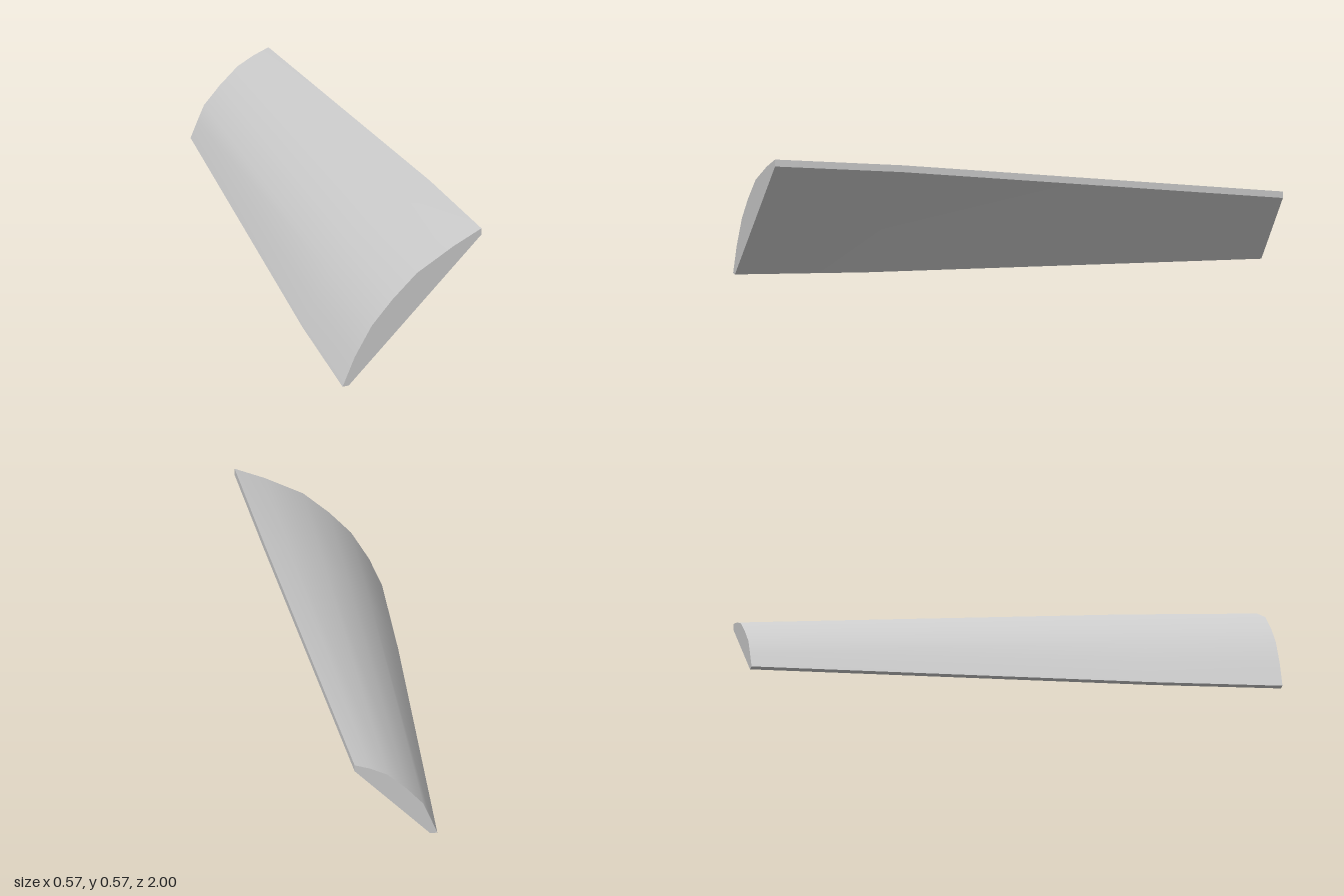
import * as THREE from 'three';
import { toCreasedNormals } from 'three/addons/utils/BufferGeometryUtils.js';

// Cross-sections run counter-clockwise as seen from the front:
// inner flat edge first, then the bowed outer edge from top to bottom.
const FRONT = [[-0.26, 0.012], [0.285, 0.545], [0.285, 0.572], [0.17, 0.52], [0.02, 0.437],
  [-0.08, 0.345], [-0.165, 0.25], [-0.235, 0.13], [-0.285, 0.012]];
const BACK = [[-0.025, 0], [0.268, 0.297], [0.268, 0.322], [0.21, 0.302], [0.142, 0.269],
  [0.068, 0.202], [0.003, 0.13], [-0.025, 0.066], [-0.052, 0]];

// Section a quarter of the way back, with its two ends nudged outwards
function middleSection() {
  return FRONT.map(([x, y], i) => {
    const k = i < 2 ? i : 1 - (i - 2) / 6; // 0 at the low end, 1 at the high end
    return [
      THREE.MathUtils.lerp(x, BACK[i][0], 0.25) + THREE.MathUtils.lerp(-0.009, 0.006, k),
      THREE.MathUtils.lerp(y, BACK[i][1], 0.25) + THREE.MathUtils.lerp(-0.009, 0.01, k),
    ];
  });
}

// Skin a list of { z, points } sections and close both ends
function loft(sections) {
  const n = sections[0].points.length;
  const last = (sections.length - 1) * n;
  const positions = sections.flatMap(({ z, points }) => points.flatMap(([x, y]) => [x, y, z]));
  const index = [];
  for (let s = 0; s < last; s += n) {
    for (let i = 0; i < n; i++) {
      const j = (i + 1) % n;
      index.push(s + i, s + n + i, s + n + j, s + i, s + n + j, s + j);
    }
  }
  for (let i = 1; i < n - 1; i++) {
    index.push(0, i, i + 1, last, last + i + 1, last + i);
  }
  const geometry = new THREE.BufferGeometry();
  geometry.setAttribute('position', new THREE.Float32BufferAttribute(positions, 3));
  geometry.setIndex(index);
  return toCreasedNormals(geometry, THREE.MathUtils.degToRad(32));
}

export function createModel() {
  const group = new THREE.Group();
  group.name = 'taperedPanel';

  // Bowed plate with a flat underside, narrowing towards the back
  const plate = new THREE.Mesh(
    loft([
      { z: 1, points: FRONT },
      { z: 0.5, points: middleSection() },
      { z: -1, points: BACK },
    ]),
    new THREE.MeshStandardMaterial({ color: 0xcccccc }),
  );
  plate.name = 'bowedPlate';
  group.add(plate);
  return group;
}
